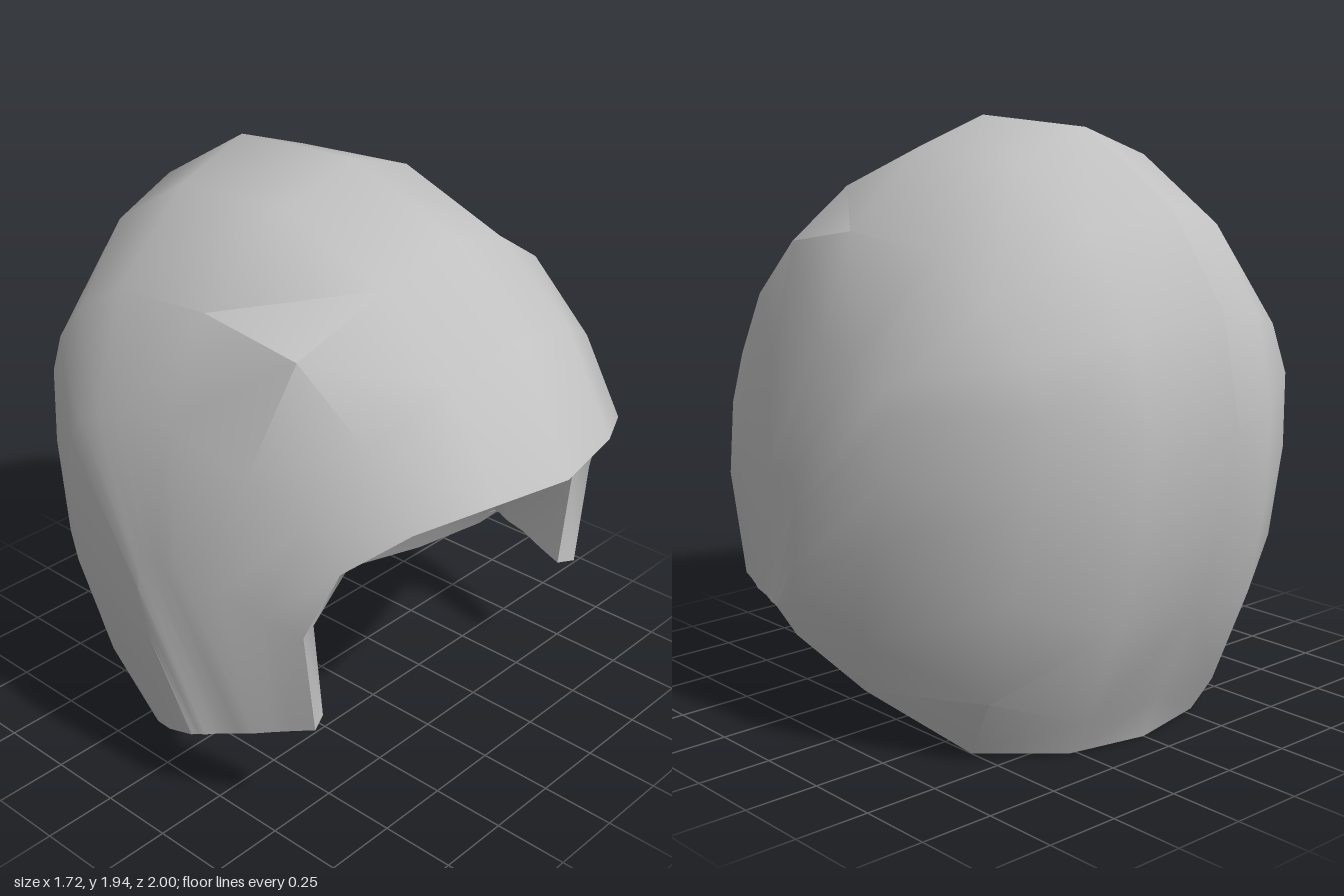
import * as THREE from 'three';
import { toCreasedNormals } from 'three/addons/utils/BufferGeometryUtils.js';

const THICKNESS = 0.07;
const ROWS = 12;
const KEYS = [0, 3, 7, 9, 10, 11];

// Ribs run from the front rim, over the crown, to the lower rim.
// p: [z, y] profile; x: width at the key rows; rightEnd: [x, y, z] of the right side's lower rim.
const crown = {
  p: [[1, 1.15], [.81, 1.56], [.55, 1.79], [.13, 1.94], [-.35, 1.915], [-.71, 1.7],
    [-.93, 1.4], [-1, 1.07], [-.95, .77], [-.86, .48], [-.7, .15], [-.64, 0]],
  x: [0, 0, 0, 0, 0, 0],
};
const inner = {
  p: [[.95, 1.16], [.77, 1.48], [.51, 1.7], [.11, 1.85], [-.34, 1.82], [-.66, 1.62],
    [-.84, 1.35], [-.905, 1.06], [-.88, .75], [-.81, .46], [-.67, .13], [-.59, .005]],
  x: [.28, .28, .26, .29, .29, .28],
};
const middle = {
  p: [[.83, 1.11], [.67, 1.34], [.43, 1.54], [.08, 1.6], [-.32, 1.56], [-.53, 1.43],
    [-.67, 1.28], [-.74, 1.13], [-.72, .88], [-.65, .56], [-.53, .22], [-.41, .02]],
  x: [.51, .59, .53, .58, .56, .53],
  rightEnd: [.53, .02, -.38],
};
const temple = {
  p: [[.68, .98], [.55, 1.09], [.36, 1.2], [.06, 1.28], [-.14, 1.25], [-.24, 1.22],
    [-.31, 1.18], [-.35, 1.11], [-.34, .92], [-.3, .7], [-.2, .38], [-.1, .18]],
  x: [.65, .73, .78, .825, .785, .7],
  rightEnd: [.68, .07, -.12],
};
const ear = {
  p: [[.6, .76], [.47, .79], [.33, .83], [.2, .86], [.12, .87], [.06, .86],
    [.03, .82], [.03, .75], [.04, .67], [.06, .58], [.09, .47], [.12, .33]],
  x: [.72, .835, .86, .85, .835, .8],
  rightEnd: [.76, .16, .03],
};
// Straight lower edge of the cheek, with points gathering towards its back corner
const along = (r) => 1 - (1 - r / 11) ** 2;
const cheekEdge = {
  p: Array.from({ length: ROWS }, (_, r) => [.6 - .4 * along(r), .4 + .01 * along(r)]),
  x: [.67, .75, .805, .815, .82, .82],
  rightEnd: [.8, .26, .18],
};
const ribs = [crown, inner, middle, temple, ear, cheekEdge];

function ribPoint(rib, r, side) {
  let k = 0;
  while (r > KEYS[k + 1]) k++;
  const t = (r - KEYS[k]) / (KEYS[k + 1] - KEYS[k]);
  const v = new THREE.Vector3(THREE.MathUtils.lerp(rib.x[k], rib.x[k + 1], t), rib.p[r][1], rib.p[r][0]);
  if (side < 0 && rib.rightEnd) {
    // The right cheek reaches lower than the left one
    const [endX, endY, endZ] = rib.rightEnd;
    if (rib === cheekEdge) v.y = THREE.MathUtils.lerp(.4, endY, along(r));
    else if (r === 11) v.set(endX, endY, endZ);
  }
  v.x *= side;
  return v;
}

function indexed(points, index) {
  const g = new THREE.BufferGeometry().setFromPoints(points);
  g.setIndex(index);
  return g;
}

export function createModel() {
  const group = new THREE.Group();
  group.name = 'helmet';
  const shellGrey = new THREE.MeshStandardMaterial({ color: 0xc4c4c4 });
  shellGrey.name = 'shell grey';

  // Outer skin as a grid of columns (right to left) and rows (front to back)
  const outer = [];
  const columns = 2 * ribs.length - 1;
  for (let c = 0; c < columns; c++) {
    const i = c - (ribs.length - 1);
    for (let r = 0; r < ROWS; r++) outer.push(ribPoint(ribs[Math.abs(i)], r, i < 0 ? -1 : 1));
  }
  const id = (c, r) => c * ROWS + r;
  const faces = [];
  for (let c = 0; c < columns - 1; c++) {
    for (let r = 0; r < ROWS - 1; r++) {
      const a = id(c, r), b = id(c + 1, r), d = id(c + 1, r + 1), e = id(c, r + 1);
      // Mirrored diagonals on the two halves
      if (c < ribs.length - 1) faces.push(a, b, e, b, d, e);
      else faces.push(a, b, d, a, d, e);
    }
  }
  const outerGeometry = indexed(outer, faces);
  outerGeometry.computeVertexNormals();

  // Inner edge of the rim: the skin's border pushed inwards, level with the lower rim
  const normals = outerGeometry.attributes.normal;
  const lining = outer.map((p, i) => {
    const q = p.clone().addScaledVector(new THREE.Vector3().fromBufferAttribute(normals, i), -THICKNESS);
    if (i % ROWS === ROWS - 1) q.y = p.y + 0.005;
    return q;
  });
  // Lining: a shallow vault sloping from the brim down to the back of the neck
  for (let c = 1; c < columns - 1; c++) {
    const start = lining[id(c, 0)], end = lining[id(c, ROWS - 1)];
    const span = start.distanceTo(end);
    const control = start.clone().add(end).multiplyScalar(0.5);
    control.add(new THREE.Vector3(0, 0.16 * span, -0.135 * span));
    const vault = new THREE.QuadraticBezierCurve3(start, control, end);
    for (let r = 1; r < ROWS - 1; r++) vault.getPoint(r / (ROWS - 1), lining[id(c, r)]);
  }
  const liningGeometry = indexed(lining, [...faces].reverse());

  // Rim joining skin and lining all round the open edge
  const loop = [];
  for (let c = 0; c < columns - 1; c++) loop.push(id(c, 0));
  for (let r = 0; r < ROWS - 1; r++) loop.push(id(columns - 1, r));
  for (let c = columns - 1; c > 0; c--) loop.push(id(c, ROWS - 1));
  for (let r = ROWS - 1; r > 0; r--) loop.push(id(0, r));
  const rimFaces = [];
  loop.forEach((a, i) => {
    const b = loop[(i + 1) % loop.length], n = outer.length;
    rimFaces.push(b, a, a + n, b, a + n, b + n);
  });
  const rimGeometry = indexed([...outer, ...lining], rimFaces);

  const add = (name, geometry, crease) => {
    const mesh = new THREE.Mesh(toCreasedNormals(geometry, crease), shellGrey);
    mesh.name = name;
    group.add(mesh);
  };
  add('outerShell', outerGeometry, 0.6);
  add('innerLining', liningGeometry, 0.85);
  add('rim', rimGeometry, 0.5);
  return group;
}
